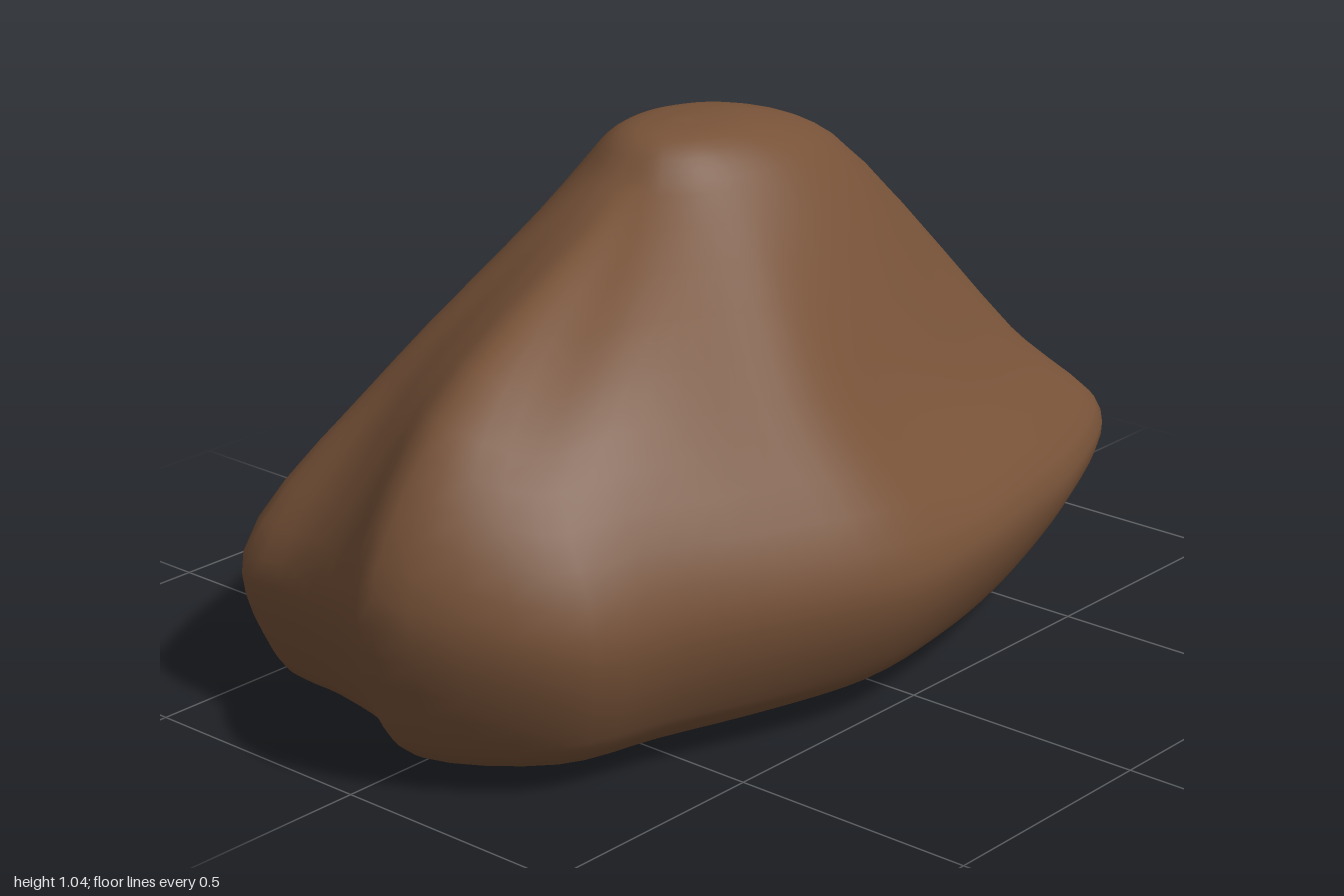
import * as THREE from 'three';
import { mergeVertices } from 'three/addons/utils/BufferGeometryUtils.js';

// Columns around the boulder, from +x round by the front:
// widest point (x, y, z), then shoulder point (x, y, z)
const COLUMNS = [
  [1.0, .27, -.07, .72, .57, -.08],
  [.98, .27, .14, .82, .45, .09],
  [.92, .27, .27, .73, .44, .20],
  [.60, .28, .44, .49, .48, .30],
  [.36, .30, .52, .30, .51, .355],
  [.10, .31, .58, .06, .55, .395],
  [-.13, .32, .605, -.16, .62, .405],
  [-.34, .33, .555, -.34, .64, .36],
  [-.60, .34, .455, -.57, .65, .295],
  [-.83, .34, .365, -.74, .63, .22],
  [-1.0, .40, .07, -.82, .68, .07],
  [-.92, .35, -.10, -.74, .66, -.07],
  [-.88, .33, -.26, -.64, .63, -.21],
  [-.85, .31, -.43, -.54, .62, -.34],
  [-.60, .25, -.53, -.38, .60, -.42],
  [-.25, .22, -.605, -.15, .60, -.45],
  [.15, .20, -.59, .12, .60, -.44],
  [.56, .17, -.585, .38, .60, -.42],
  [.75, .15, -.52, .50, .60, -.36],
  [.91, .15, -.43, .60, .58, -.30],
  [.96, .20, -.30, .66, .60, -.20],
];
const LEVELS = 40;
const AROUND = 84;

const v = (x, y, z) => new THREE.Vector3(x, y, z);

// Vertical curve of one column, from the underside centre to the summit
function meridian([wx, wy, wz, sx, sy, sz]) {
  const front = THREE.MathUtils.smoothstep(wz, -.3, .4);
  // The underside rises towards the front left corner
  const lift = .05 * front * THREE.MathUtils.smoothstep(wx, .2, .9);
  const tuck = (kx, kBack, kFront, y) =>
    v(wx * kx, y + lift, wz * THREE.MathUtils.lerp(kBack, kFront, front));
  const a = Math.atan2(sz + .06, sx - .06);
  const ring = (cx, cz, rx, rz, y) => v(cx + rx * Math.cos(a), y, cz + rz * Math.sin(a));
  return new THREE.CatmullRomCurve3([
    v(0, .004, -.06),
    tuck(.75, .85, .5, .012),
    tuck(.89, .95, .72, wy * .14),
    tuck(.945, .975, .86, wy * .34),
    v(wx, wy, wz),
    v(sx, sy, sz),
    ring(.06, -.065, .3, .21, .945),
    ring(.01, -.07, .16, .115, 1.025),
    v(-.03, 1.043, -.075),
  ]);
}

function boulderGeometry() {
  const curves = COLUMNS.map(meridian);
  const positions = [];
  const index = [];
  // Smooth closed ring through all columns at every level
  for (let j = 0; j <= LEVELS; j++) {
    const ring = new THREE.CatmullRomCurve3(curves.map(c => c.getPoint(j / LEVELS)), true);
    for (let i = 0; i < AROUND; i++) {
      const p = ring.getPoint(i / AROUND);
      positions.push(p.x, Math.max(0, p.y), p.z);
      if (j === LEVELS) continue;
      const a = j * AROUND + i;
      const b = j * AROUND + (i + 1) % AROUND;
      const c = a + AROUND;
      const d = b + AROUND;
      index.push(a, c, b, b, c, d);
    }
  }
  let geometry = new THREE.BufferGeometry();
  geometry.setAttribute('position', new THREE.Float32BufferAttribute(positions, 3));
  geometry.setIndex(index);
  geometry = mergeVertices(geometry);
  geometry.computeVertexNormals();
  return geometry;
}

export function createModel() {
  const stone = new THREE.MeshStandardMaterial({ color: 0x775238 });
  stone.name = 'brown stone';
  const boulder = new THREE.Mesh(boulderGeometry(), stone);
  boulder.name = 'boulder';
  const group = new THREE.Group();
  group.name = 'rock';
  group.add(boulder);
  return group;
}
